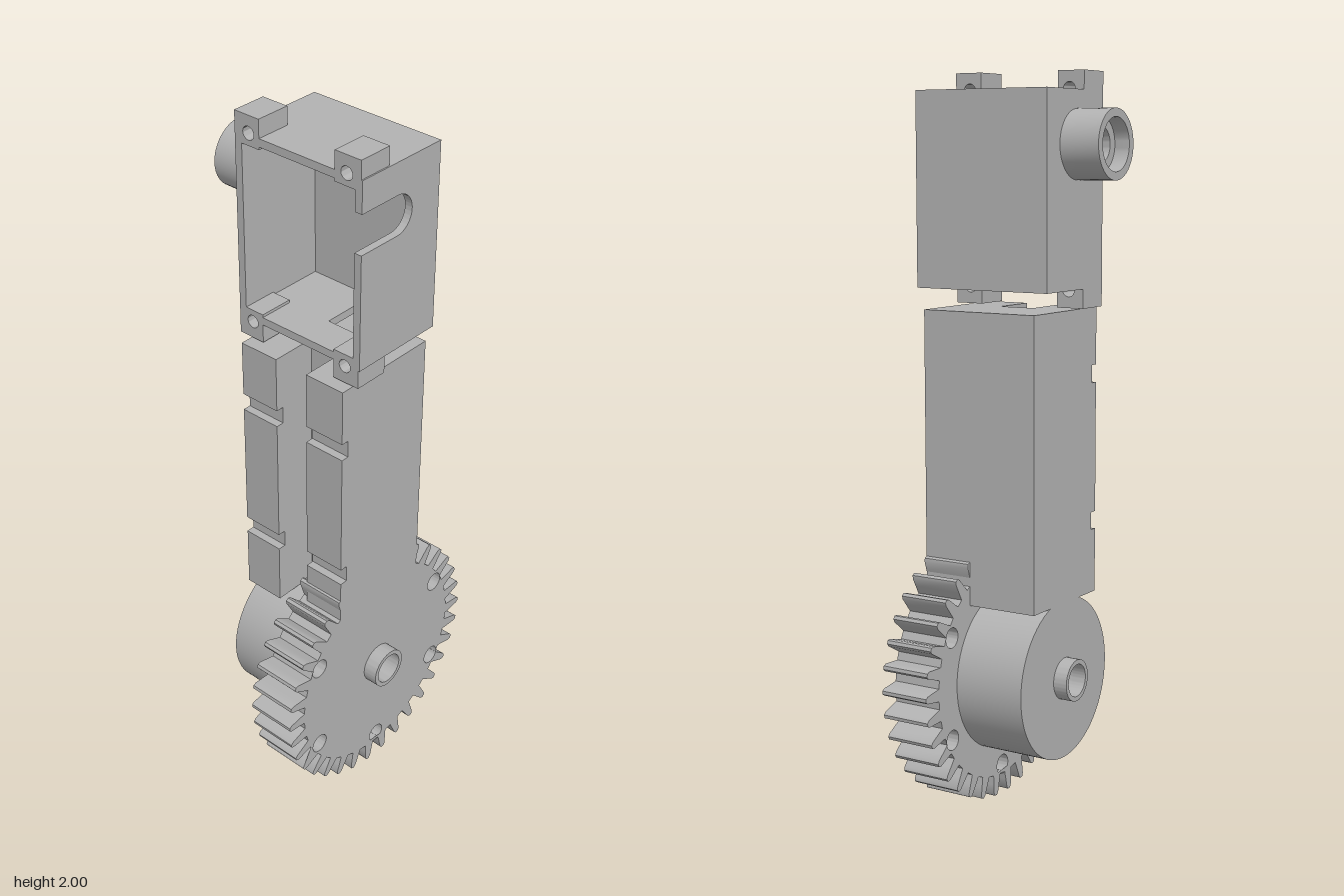
import * as THREE from 'three';
import { toCreasedNormals } from 'three/addons/utils/BufferGeometryUtils.js';

export function createModel() {
  const model = new THREE.Group();
  const grey = new THREE.MeshStandardMaterial({ color: 0xb2b2b2 });
  grey.name = 'grey plastic';

  const add = (name, geometry, parent = model) => {
    const mesh = new THREE.Mesh(geometry, grey);
    mesh.name = name;
    parent.add(mesh);
    return mesh;
  };
  const group = (name) => {
    const g = new THREE.Group();
    g.name = name;
    model.add(g);
    return g;
  };
  const polygon = (points) => new THREE.Shape(points.map(([x, y]) => new THREE.Vector2(x, y)));
  const rect = (x0, x1, y0, y1) => polygon([[x0, y0], [x1, y0], [x1, y1], [x0, y1]]);
  const disc = (x, y, r) => new THREE.Shape().absarc(x, y, r, 0, Math.PI * 2, false);
  const hole = (shape, x, y, r) => {
    shape.holes.push(new THREE.Path().absarc(x, y, r, 0, Math.PI * 2, true));
    return shape;
  };
  const extrude = (shape, depth) => toCreasedNormals(
    new THREE.ExtrudeGeometry(shape, { depth, bevelEnabled: false, curveSegments: 32 }), 0.5);
  // Extrusions along each axis
  const alongZ = (shape, z0, z1) => extrude(shape, z1 - z0).translate(0, 0, z0);
  const alongX = (shape, x0, x1) => extrude(shape, x1 - x0).rotateY(Math.PI / 2).translate(x0, 0, 0);
  const alongY = (shape, y0, y1) => extrude(shape, y1 - y0).rotateX(Math.PI / 2).translate(0, y1, 0);

  // Gear with bolt holes and a central bore
  const cy = 0.368, bore = 0.045, teeth = 34;
  const wheel = group('gearWheel');
  const outline = [];
  const pitch = (Math.PI * 2) / teeth;
  const tooth = [[-0.3, 0.31], [-0.22, 0.335], [-0.15, 0.361], [-0.07, 0.369],
    [0.07, 0.369], [0.15, 0.361], [0.22, 0.335], [0.3, 0.31]];
  for (let i = 0; i < teeth; i++) {
    for (const [f, r] of tooth) {
      const a = (i + f) * pitch;
      outline.push([r * Math.cos(a), cy + r * Math.sin(a)]);
    }
  }
  const gear = hole(polygon(outline), 0, cy, bore);
  for (const deg of [30, 150, 210, 270, 330]) {
    const a = THREE.MathUtils.degToRad(deg);
    hole(gear, 0.285 * Math.cos(a), cy + 0.285 * Math.sin(a), 0.028);
  }
  add('gear', alongZ(gear, 0.083, 0.225), wheel);
  add('drum', alongZ(hole(disc(0, cy, 0.225), 0, cy, bore), -0.12, 0.083), wheel);
  add('frontHub', alongZ(hole(disc(0, cy, 0.058), 0, cy, bore), 0.225, 0.267), wheel);
  add('backHub', alongZ(hole(disc(0, cy, 0.058), 0, cy, bore), -0.16, -0.12), wheel);

  // Arm: solid core plus two notched rails with a channel between them
  const arm = group('arm');
  const y0 = 0.58, y1 = 1.375, edge = -0.163, inset = -0.14, core = -0.03;
  add('armCore', alongZ(rect(core, 0.16, y0, y1), -0.12, 0.225), arm);
  const rail = polygon([
    [core, y0], [core, y1], [edge, y1],
    [edge, 1.217], [inset, 1.217], [inset, 1.168], [edge, 1.168],
    [edge, 0.807], [inset, 0.807], [inset, 0.758], [edge, 0.758], [edge, y0],
  ]);
  add('backRail', alongZ(rail, -0.12, 0), arm);
  add('frontRail', alongZ(rail, 0.103, 0.225), arm);

  // Housing: box open on one side
  const housing = group('housing');
  const x0 = -0.13, x1 = 0.155, b0 = 1.432, b1 = 1.95, zb = -0.155, zf = 0.25, t = 0.022;
  add('sideWall', alongX(rect(-zf, -zb, b0, b1), x1 - t, x1), housing);
  add('backWall', alongZ(rect(x0, x1, b0, b1), zb, zb + t), housing);

  // Front wall with a round-ended slot
  const front = new THREE.Shape();
  front.moveTo(x0, b0).lineTo(x1, b0).lineTo(x1, b1).lineTo(x0, b1).lineTo(x0, 1.863).lineTo(0, 1.863);
  front.absarc(0, 1.809, 0.054, Math.PI / 2, -Math.PI / 2, true);
  front.lineTo(x0, 1.755);
  add('frontWall', alongZ(front, zf - t, zf), housing);

  // Roof and floor leave room for the corner lugs
  const lug = -0.03;
  const slab = () => polygon([[x0, -0.075], [lug, -0.075], [lug, zb], [x1, zb],
    [x1, zf], [lug, zf], [lug, 0.165], [x0, 0.165]]);
  add('roof', alongY(slab(), b1 - t, b1), housing);
  const floor = slab();
  floor.holes.push(rect(-0.03, 0.065, 0.06, 0.205));
  add('floor', alongY(floor, b0, b0 + t), housing);

  // Corner lugs with screw holes
  for (const [low, high, y] of [[1.92, 2, 1.953], [1.38, 1.462, 1.428]]) {
    for (const [za, zc, z] of [[zb, -0.075, -0.11], [0.165, 0.246, 0.202]]) {
      add('screwLug', alongX(hole(rect(-zc, -za, low, high), -z, y, 0.018), x0, lug), housing);
    }
  }

  // Stepped pivot boss with a blind bore
  const profile = [[0, 0.015], [0.045, 0.015], [0.045, 0.07], [0.07, 0.07], [0.07, 0.113], [0.092, 0.113], [0.092, 0]]
    .reverse().map(([r, h]) => new THREE.Vector2(r, h));
  const boss = toCreasedNormals(new THREE.LatheGeometry(profile, 48), 0.5);
  boss.rotateX(-Math.PI / 2).translate(0, 1.809, zb);
  // Lathe faces point outward for a profile that runs upward on the outside
  add('pivotBoss', boss, housing);

  return model;
}
